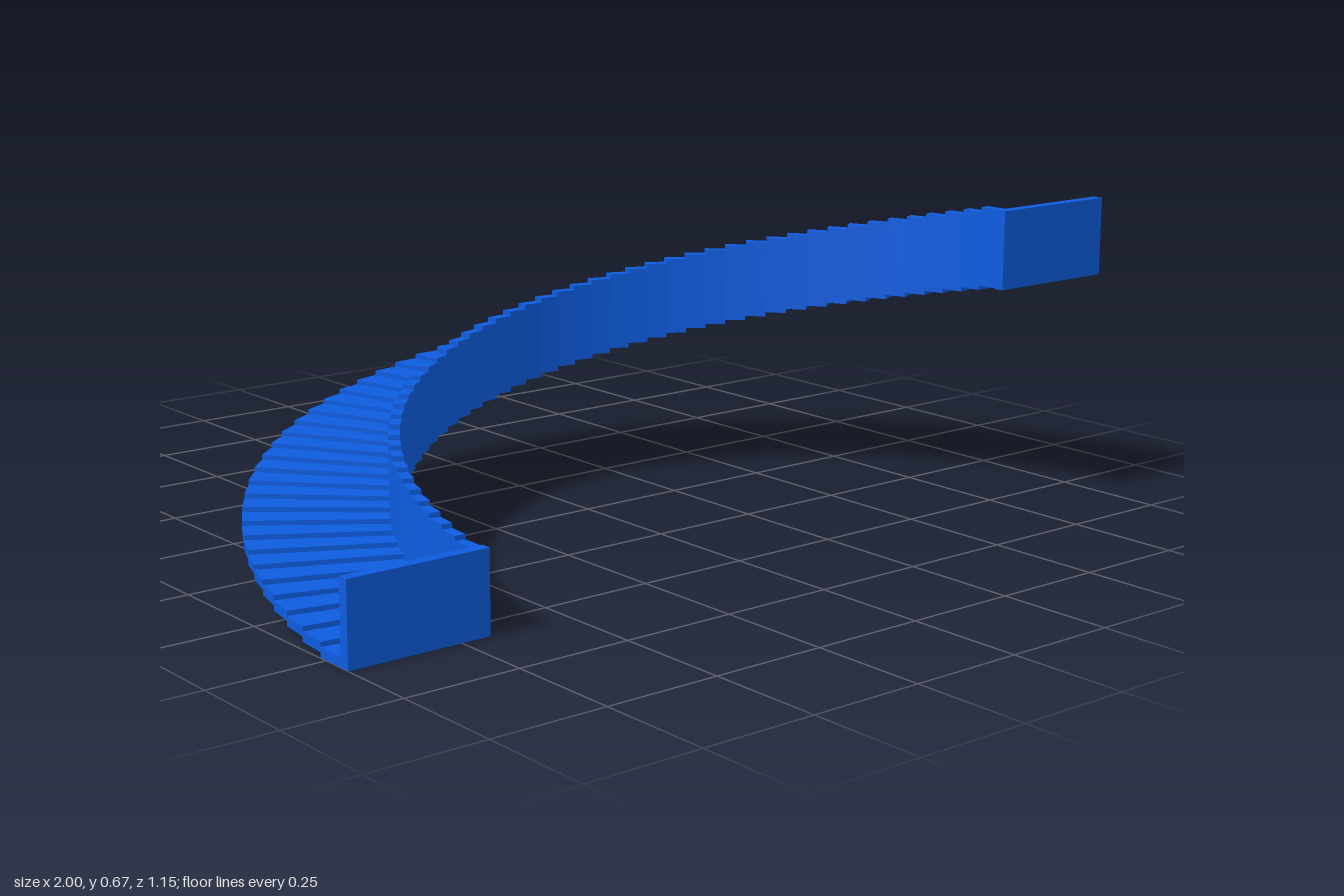
import * as THREE from 'three';
import { mergeGeometries } from 'three/addons/utils/BufferGeometryUtils.js';

const STEPS = 50;
const RISE = 0.495 / (STEPS - 1);
const WALL_HEIGHT = 0.172;
const TREAD_THICKNESS = 0.02;
const ARC_Z = 0.55;          // z of the line joining both ends of the arc
const STRETCH = 1.123;       // the arc is deeper than it is wide
const INNER = 0.69, WALL_OUTER = 0.713, OUTER = 1;

// Point on the arc: t = 0 is the low end at -x, t = PI the high end at +x
const arcPoint = (r, t) =>
  new THREE.Vector2(-r * Math.cos(t), r * STRETCH * Math.sin(t) - ARC_Z);

// Upright block over one angular slice between two radii
function slice(i, r0, r1, height) {
  const t0 = (i / STEPS) * Math.PI, t1 = ((i + 1) / STEPS) * Math.PI;
  const shape = new THREE.Shape([
    arcPoint(r0, t0), arcPoint(r1, t0), arcPoint(r1, t1), arcPoint(r0, t1),
  ]);
  const geo = new THREE.ExtrudeGeometry(shape, { depth: height, bevelEnabled: false });
  return geo.rotateX(-Math.PI / 2).translate(0, i * RISE, 0);
}

export function createModel() {
  const group = new THREE.Group();
  group.name = 'curvedStair';
  const material = new THREE.MeshStandardMaterial({ color: 0x0d5ce0 });
  const add = (name, geo) => {
    const mesh = new THREE.Mesh(geo, material);
    mesh.name = name;
    group.add(mesh);
    return mesh;
  };

  // Thin treads and the stepped wall along the inside of the curve
  const treads = [], wall = [];
  for (let i = 0; i < STEPS; i++) {
    treads.push(slice(i, WALL_OUTER, OUTER, TREAD_THICKNESS));
    wall.push(slice(i, INNER, WALL_OUTER, WALL_HEIGHT));
  }
  add('treads', mergeGeometries(treads));
  add('innerWall', mergeGeometries(wall));

  // Flat panels closing the low and the high end
  const width = OUTER - 0.685;
  for (const [name, side, base] of [['lowEndPanel', -1, 0], ['highEndPanel', 1, 0.495]]) {
    const panel = add(name, new THREE.BoxGeometry(width, WALL_HEIGHT, 0.024));
    panel.position.set(side * (OUTER - width / 2), base + WALL_HEIGHT / 2, ARC_Z + 0.011);
  }
  return group;
}
